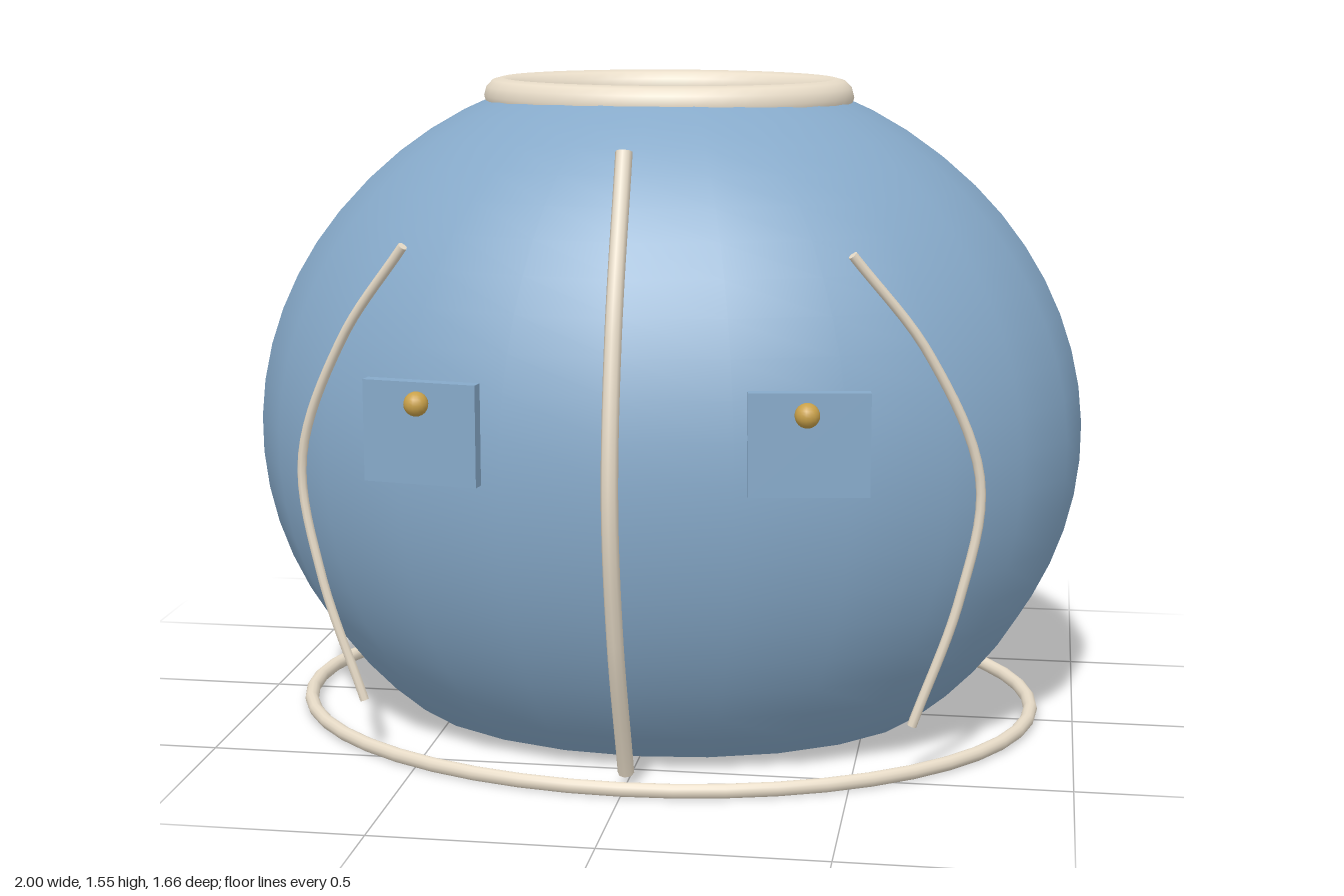
import * as THREE from 'three';

const material = (color, side = THREE.FrontSide) =>
  new THREE.MeshStandardMaterial({ color, side });

export function createModel() {
  const model = new THREE.Group();
  const blue = material(0x86a9c9);
  const cream = material(0xe8dcc8);
  const gold = material(0xc9a14a);
  const centreZ = -0.035;

  const add = (name, geometry, mat, x = 0, y = 0, z = 0) => {
    const mesh = new THREE.Mesh(geometry, mat);
    mesh.name = name;
    mesh.position.set(x, y, z);
    model.add(mesh);
    return mesh;
  };

  // Hollow shell, open at the neck and at the hem
  const start = Math.asin(0.41);
  const end = Math.PI - Math.acos(0.675 / 0.886);
  const shell = new THREE.SphereGeometry(1, 24, 20, 0, Math.PI * 2, start, end - start);
  shell.scale(1, 0.886, 0.797);
  add('body', shell, material(0x86a9c9, THREE.DoubleSide), 0, 0.7, centreZ);

  // Oval rings lying flat
  const ring = (name, radius, tube, depth, y) => {
    const geometry = new THREE.TorusGeometry(radius, tube, 12, 48);
    geometry.rotateX(Math.PI / 2).scale(1, 1, depth);
    add(name, geometry, cream, 0, y, centreZ);
  };
  ring('neckRing', 0.402, 0.043, 0.75, 1.505);
  ring('hemRing', 0.898, 0.017, 0.8, 0.017);

  // Piping that follows the front, with closed ends
  const piping = (name, points, radius) => {
    const path = new THREE.CatmullRomCurve3(points.map((p) => new THREE.Vector3(...p)));
    add(name, new THREE.TubeGeometry(path, 32, radius, 8), cream);
    for (const t of [0, 1]) {
      const cap = new THREE.CircleGeometry(radius, 8);
      const outward = path.getTangent(t).multiplyScalar(t ? 1 : -1);
      cap.applyQuaternion(
        new THREE.Quaternion().setFromUnitVectors(new THREE.Vector3(0, 0, 1), outward));
      const end = path.getPoint(t);
      add(name + 'End', cap, cream, end.x, end.y, end.z);
    }
  };
  piping('frontPlacket', [
    [0, 0.03, 0.605], [0, 0.38, 0.745], [0, 0.7, 0.805], [0, 1.05, 0.752], [0, 1.43, 0.605],
  ], 0.019);

  for (const [side, s] of [['left', 1], ['right', -1]]) {
    piping(side + 'Piping', [
      [s * 0.635, 0.135, 0.497], [s * 0.735, 0.43, 0.484], [s * 0.775, 0.7, 0.477],
      [s * 0.66, 0.99, 0.53], [s * 0.495, 1.215, 0.6],
    ], 0.011);

    // Pocket panel turned slightly outwards, with its button
    const pocket = add(side + 'Pocket', new THREE.BoxGeometry(0.26, 0.225, 0.03), blue,
      s * 0.42, 0.832, 0.757);
    pocket.rotation.y = s * 0.15;
    add(side + 'Button', new THREE.SphereGeometry(0.027, 16, 12), gold, s * 0.42, 0.903, 0.802);
  }

  return model;
}
